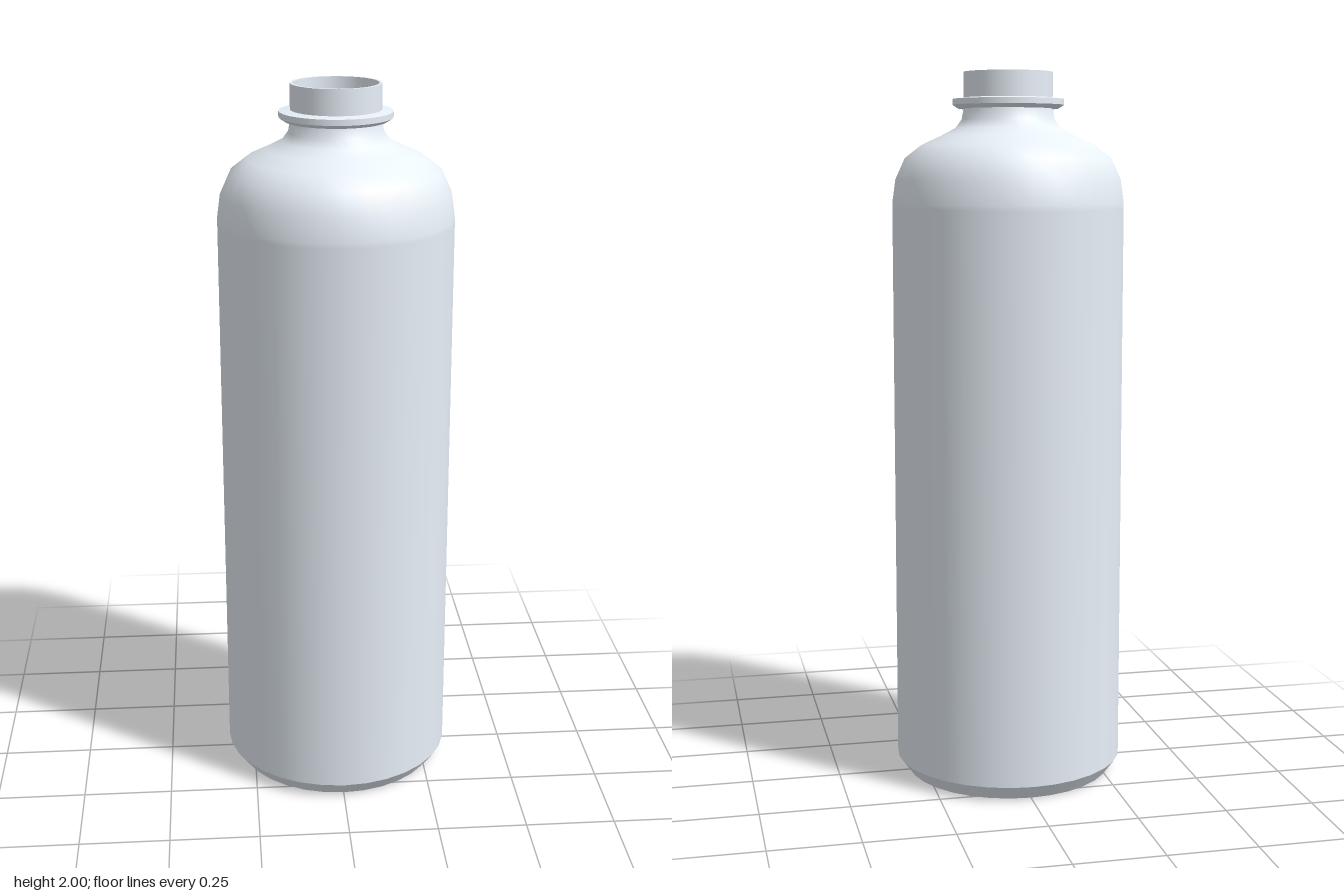
import * as THREE from 'three';

const SIDES = 32;

export function createModel() {
  const bottle = new THREE.Group();
  bottle.name = 'bottle';
  const material = new THREE.MeshStandardMaterial({ color: 0xe8f0f8 });

  // Each run of [radius, height] points is smooth; runs meet in sharp edges.
  function addPart(name, ...runs) {
    const part = new THREE.Group();
    part.name = name;
    runs.forEach((run) => {
      const points = run.map(([r, y]) => new THREE.Vector2(r, y));
      const mesh = new THREE.Mesh(new THREE.LatheGeometry(points, SIDES), material);
      mesh.name = name + 'Surface';
      part.add(mesh);
    });
    bottle.add(part);
  }

  // Flat bottom with a chamfered edge
  addPart('base',
    [[0, 0], [0.293, 0]],
    [[0.293, 0], [0.325, 0.043]]);

  // Straight wall, rounded shoulder and the fillet up into the neck
  addPart('body',
    [[0.325, 0.043], [0.325, 1.625], [0.325, 1.64], [0.316, 1.705], [0.289, 1.764],
      [0.243, 1.8], [0.187, 1.826], [0.147, 1.847], [0.13, 1.87], [0.124, 1.9]]);

  // Collar ring, chamfered underneath
  addPart('collar',
    [[0.124, 1.9], [0.14, 1.9]],
    [[0.14, 1.9], [0.155, 1.91]],
    [[0.155, 1.91], [0.155, 1.926]],
    [[0.155, 1.926], [0.124, 1.93]]);

  // Open neck: outer wall, rim and inner wall
  addPart('neck',
    [[0.124, 1.93], [0.124, 2]],
    [[0.124, 2], [0.116, 2]],
    [[0.116, 2], [0.116, 1.915]]);

  // Flat surface closing the neck
  addPart('neckFloor', [[0.116, 1.915], [0, 1.915]]);

  return bottle;
}
